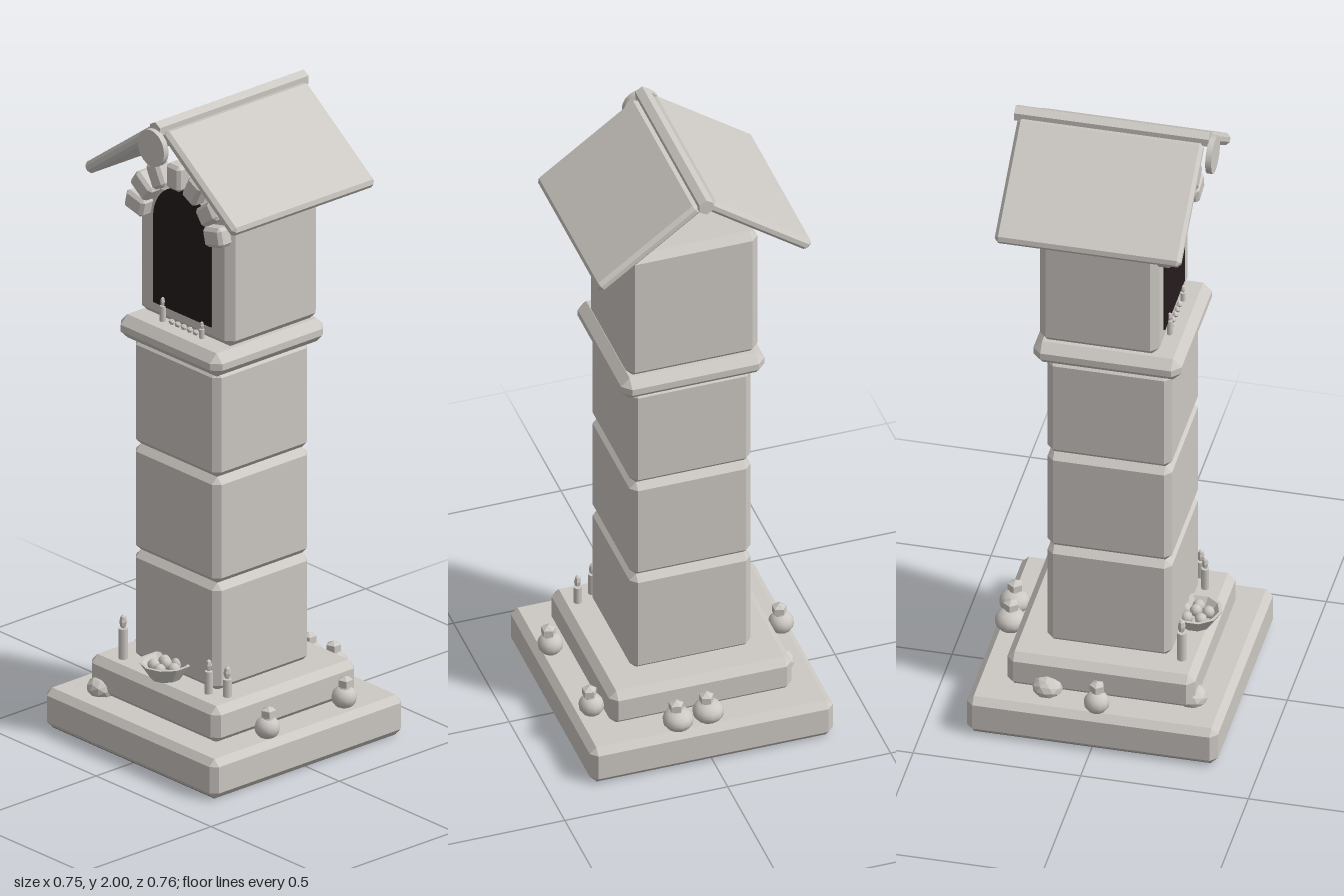
import * as THREE from 'three';
import { ConvexGeometry } from 'three/addons/geometries/ConvexGeometry.js';

const stone = new THREE.MeshStandardMaterial({ color: 0xccc8c3 });
stone.name = 'stone';
const shadow = new THREE.MeshStandardMaterial({ color: 0x261c1c });
shadow.name = 'darkOpening';
const underside = new THREE.MeshStandardMaterial({ color: 0x737170 });
underside.name = 'darkUnderside';

// Box with every edge cut at an angle
function chamferBox(w, h, d, c) {
  const pts = [];
  for (const x of [-1, 1]) for (const y of [-1, 1]) for (const z of [-1, 1]) {
    const [a, b, e] = [w / 2, h / 2, d / 2];
    pts.push(new THREE.Vector3(x * a, y * (b - c), z * (e - c)));
    pts.push(new THREE.Vector3(x * (a - c), y * b, z * (e - c)));
    pts.push(new THREE.Vector3(x * (a - c), y * (b - c), z * e));
  }
  return new ConvexGeometry(pts);
}

function flat(geo) {
  const g = geo.index ? geo.toNonIndexed() : geo;
  g.computeVertexNormals();
  return g;
}

function add(parent, name, geo, x, y, z, mat = stone) {
  const mesh = new THREE.Mesh(geo, mat);
  mesh.name = name;
  mesh.position.set(x, y, z);
  parent.add(mesh);
  return mesh;
}

// Chamfered block given by its bounds
function block(parent, name, [x0, x1], [y0, y1], [z0, z1], c) {
  return add(parent, name, chamferBox(x1 - x0, y1 - y0, z1 - z0, c),
    (x0 + x1) / 2, (y0 + y1) / 2, (z0 + z1) / 2);
}

// Squat jar with a faceted stopper
function jar(parent, x, z, r) {
  const g = new THREE.Group();
  g.name = 'jar';
  g.position.set(x, 0.12, z);
  parent.add(g);
  add(g, 'jarBody', new THREE.SphereGeometry(r, 12, 8), 0, 0.033, 0).scale.y = 0.035 / r;
  add(g, 'jarNeck', new THREE.CylinderGeometry(0.014, 0.018, 0.02, 8), 0.004, 0.068, 0);
  add(g, 'jarStopper', flat(new THREE.SphereGeometry(0.026, 5, 3)), 0.006, 0.08, 0).scale.y = 0.8;
}

// Candle with a pointed flame
function candle(parent, x, y, z, h, r) {
  const g = new THREE.Group();
  g.name = 'candle';
  g.position.set(x, y, z);
  parent.add(g);
  add(g, 'wax', new THREE.CylinderGeometry(r, r, h, 8), 0, h / 2, 0);
  add(g, 'flame', flat(new THREE.SphereGeometry(r * 0.85, 6, 4)), 0, h + r * 1.5, 0).scale.y = 1.9;
}

export function createModel() {
  const model = new THREE.Group();
  model.name = 'waysideShrine';

  // Stepped base
  block(model, 'baseSlab', [-0.373, 0.373], [0.002, 0.125], [-0.373, 0.375], 0.02);
  add(model, 'baseUnderside', new THREE.BoxGeometry(0.706, 0.004, 0.708), 0, 0.002, 0.001, underside);
  block(model, 'baseStep', [-0.28, 0.28], [0.12, 0.235], [-0.275, 0.285], 0.022);

  // Pillar
  const seams = [0.23, 0.57, 0.905, 1.243];
  for (let i = 0; i < 3; i++) {
    block(model, 'pillarBlock', [-0.187, 0.184], [seams[i], seams[i + 1]], [-0.176, 0.195], 0.02);
  }
  block(model, 'pillarCap', [-0.22, 0.22], [1.24, 1.313], [-0.212, 0.23], 0.026);

  // Niche housing and its arched opening
  block(model, 'nicheHousing', [-0.202, 0.202], [1.313, 1.75], [-0.196, 0.16], 0.022);
  const arch = new THREE.Shape();
  arch.moveTo(-0.126, 1.362);
  arch.lineTo(0.126, 1.362);
  arch.lineTo(0.126, 1.63);
  arch.absarc(0, 1.63, 0.126, 0, Math.PI, false);
  arch.closePath();
  add(model, 'nicheOpening',
    new THREE.ExtrudeGeometry(arch, { depth: 0.006, bevelEnabled: false, curveSegments: 16 }), 0, 0, 0.159, shadow);

  // Arch stones
  for (const deg of [13, 36, 63, 90, 117, 144, 167]) {
    const a = THREE.MathUtils.degToRad(deg);
    const s = add(model, 'archStone', chamferBox(0.06, 0.08, 0.05, 0.01),
      Math.cos(a) * 0.175, 1.63 + Math.sin(a) * 0.175, 0.18);
    s.rotation.z = a - Math.PI / 2;
  }

  // Sill candles and pebbles
  candle(model, -0.08, 1.318, 0.168, 0.048, 0.009);
  candle(model, 0.09, 1.318, 0.168, 0.028, 0.008);
  for (let i = 0; i < 5; i++) {
    add(model, 'sillPebble', flat(new THREE.IcosahedronGeometry(0.01, 0)), -0.045 + i * 0.026, 1.325, 0.164);
  }

  // Roof slabs, ridge and gable disc
  for (const side of [-1, 1]) {
    const slab = add(model, 'roofSlab', chamferBox(0.38, 0.036, 0.555, 0.011), side * 0.17, 1.855, -0.021);
    slab.rotation.z = -side * 0.63;
  }
  const ridge = add(model, 'roofRidge', flat(new THREE.CylinderGeometry(0.025, 0.025, 0.58, 6)), 0, 1.976, -0.02);
  ridge.rotation.x = Math.PI / 2;
  const disc = add(model, 'gableDisc', new THREE.CylinderGeometry(0.057, 0.057, 0.018, 20), 0, 1.923, 0.277);
  disc.rotation.x = Math.PI / 2;

  // Offering bowl with fruit
  const bowl = [[0, 0], [0.045, 0], [0.078, 0.05], [0.068, 0.05], [0.04, 0.015], [0, 0.015]]
    .map(([r, y]) => new THREE.Vector2(r, y));
  add(model, 'offeringBowl', flat(new THREE.LatheGeometry(bowl, 10)), 0, 0.234, 0.228);
  for (let i = 0; i < 6; i++) {
    const a = i * Math.PI / 2.5, r = i === 5 ? 0 : 0.036;
    add(model, 'fruit', new THREE.SphereGeometry(0.019, 8, 6),
      Math.cos(a) * r, i === 5 ? 0.278 : 0.27, 0.228 + Math.sin(a) * r);
  }

  // Candles on the step
  candle(model, -0.185, 0.23, 0.228, 0.1, 0.014);
  candle(model, 0.172, 0.23, 0.215, 0.075, 0.012);
  candle(model, 0.225, 0.23, 0.19, 0.06, 0.013);

  // Jars and loose stones on the slab
  for (const [x, z, r] of [[0, -0.325, 0.047], [0.096, -0.335, 0.046], [-0.338, 0.01, 0.038],
    [0.33, 0.128, 0.038], [0.312, -0.188, 0.038]]) jar(model, x, z, r);
  for (const [x, z] of [[-0.23, 0.27], [-0.278, -0.15]]) {
    add(model, 'looseStone', flat(new THREE.IcosahedronGeometry(0.046, 1)), x, 0.142, z).scale.y = 0.75;
  }

  return model;
}
